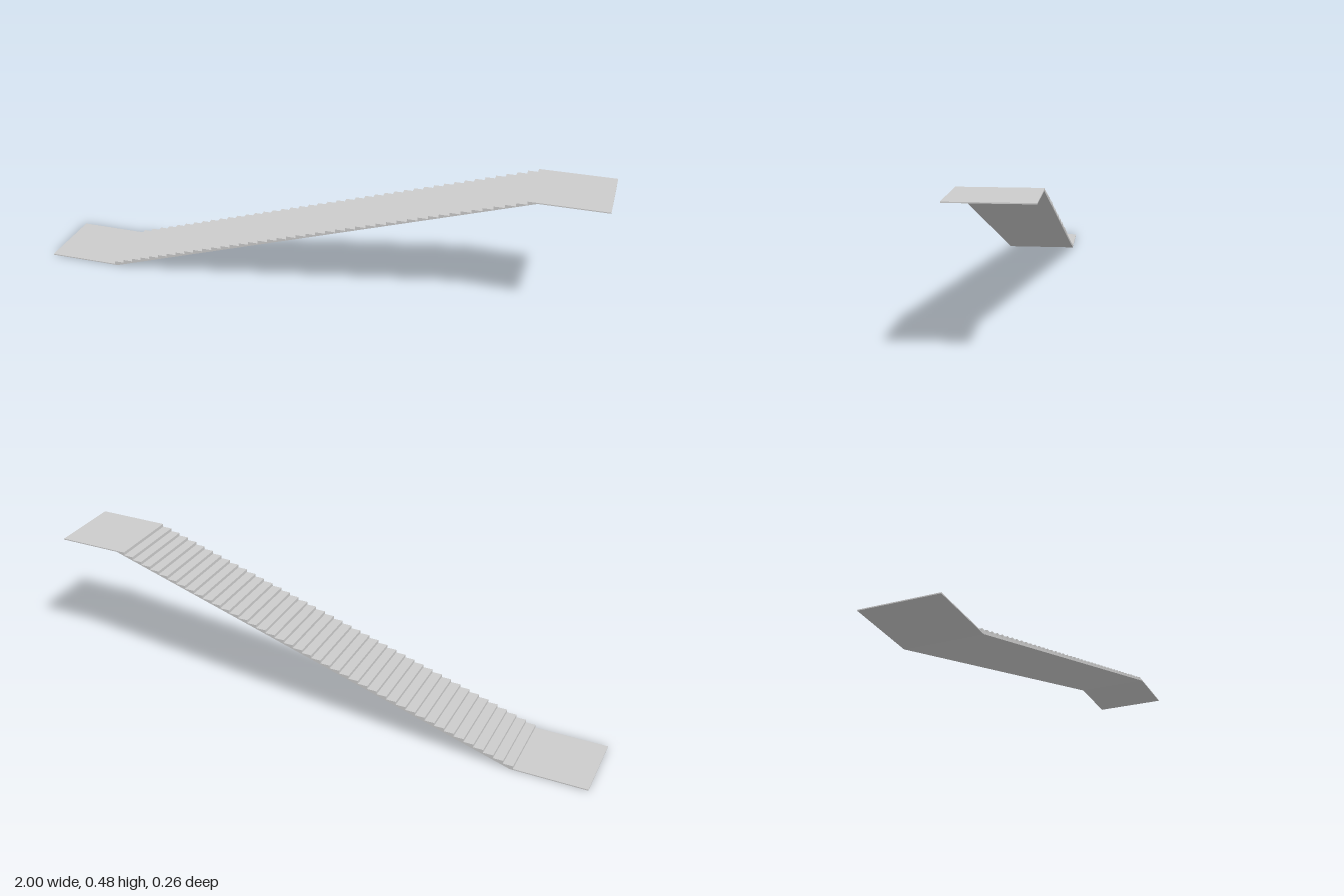
import * as THREE from 'three';

const WIDTH = 0.26;      // depth of the whole run along z
const HEIGHT = 0.482;
const SLAB = 0.0035;     // landing thickness
const RISERS = 43;
const FIRST_X = -0.745;  // first riser
const LAST_X = 0.74;     // last riser
const FOOT_X = -0.735;   // sloped underside, bottom end
const HEAD_X = 0.772;    // sloped underside, top end

export function createModel() {
  const group = new THREE.Group();
  const material = new THREE.MeshStandardMaterial({ color: 0xcccccc, flatShading: true });

  const add = (name, geometry) => {
    const mesh = new THREE.Mesh(geometry, material);
    mesh.name = name;
    group.add(mesh);
    return mesh;
  };

  // Flat landing slab between two x positions
  const landing = (name, x0, x1, top) => {
    const mesh = add(name, new THREE.BoxGeometry(x1 - x0, SLAB, WIDTH));
    mesh.position.set((x0 + x1) / 2, top - SLAB / 2, 0);
  };
  landing('lowerLanding', -1, FIRST_X, SLAB);
  landing('upperLanding', HEAD_X, 1, HEIGHT);

  // Stair flight: saw-tooth top with a straight sloped soffit
  const run = (LAST_X - FIRST_X) / (RISERS - 1);
  const rise = (HEIGHT - SLAB) / RISERS;
  const profile = new THREE.Shape();
  profile.moveTo(FIRST_X, 0);
  profile.lineTo(FOOT_X, 0);
  profile.lineTo(HEAD_X, HEIGHT - SLAB);
  profile.lineTo(HEAD_X, HEIGHT);
  for (let i = RISERS - 1; i >= 0; i--) {
    const x = FIRST_X + i * run;
    profile.lineTo(x, SLAB + (i + 1) * rise);
    profile.lineTo(x, SLAB + i * rise);
  }
  const flight = new THREE.ExtrudeGeometry(profile, { depth: WIDTH, bevelEnabled: false });
  flight.translate(0, 0, -WIDTH / 2);
  add('stairFlight', flight);

  return group;
}
